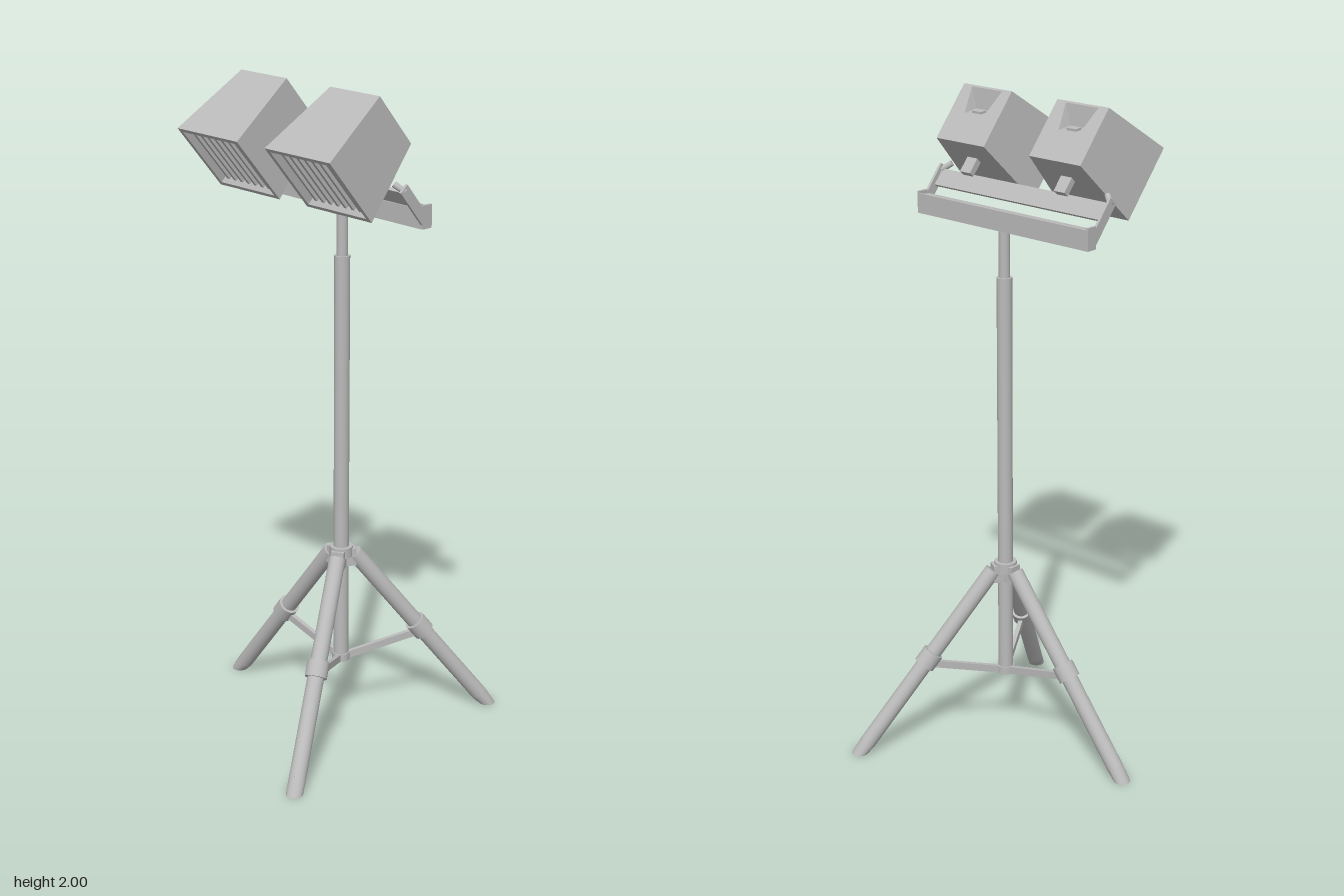
import * as THREE from 'three';

const metal = new THREE.MeshStandardMaterial({ color: 0xbababa, side: THREE.DoubleSide });
metal.name = 'grey metal';

const V = (x, y, z) => new THREE.Vector3(x, y, z);
const UP = V(0, 1, 0);
const POLE_X = 0.083;
const TILT = 0.697;

function add(parent, name, geometry, x = 0, y = 0, z = 0) {
  const mesh = new THREE.Mesh(geometry, metal);
  mesh.name = name;
  mesh.position.set(x, y, z);
  parent.add(mesh);
  return mesh;
}

function box(parent, name, w, h, d, x, y, z) {
  return add(parent, name, new THREE.BoxGeometry(w, h, d), x, y, z);
}

// Round rod, or flat strap when a width is given, between two points
function rod(parent, name, a, b, r, width) {
  const len = a.distanceTo(b);
  const geo = width ? new THREE.BoxGeometry(r, len, width) : new THREE.CylinderGeometry(r, r, len, 24);
  const mesh = add(parent, name, geo);
  mesh.position.copy(a).add(b).multiplyScalar(0.5);
  mesh.quaternion.setFromUnitVectors(UP, b.clone().sub(a).normalize());
  return mesh;
}

// Flat faces from polygons of three or four corners
function faces(polys) {
  const pos = [];
  for (const p of polys) {
    for (let i = 1; i < p.length - 1; i++) pos.push(...p[0], ...p[i], ...p[i + 1]);
  }
  const geo = new THREE.BufferGeometry();
  geo.setAttribute('position', new THREE.Float32BufferAttribute(pos, 3));
  geo.computeVertexNormals();
  return geo;
}

// Rectangle corners, counter-clockwise seen from +z
const rect = (w, h, z) => [[-w / 2, -h / 2, z], [w / 2, -h / 2, z], [w / 2, h / 2, z], [-w / 2, h / 2, z]];
// Band of quads joining two loops of four corners
const band = (a, b) => a.map((p, i) => [p, a[(i + 1) % 4], b[(i + 1) % 4], b[i]]);

// One leg, running outward along its own +x
function makeLeg(angle) {
  const leg = new THREE.Group();
  leg.name = 'leg';
  leg.position.x = POLE_X;
  leg.rotation.y = angle;
  const top = V(0.04, 0.56, 0), ground = V(0.476, 0, 0);
  const at = (t) => top.clone().lerp(ground, t);
  const ankle = at(0.935);
  rod(leg, 'legTube', top, ankle, 0.025);
  rod(leg, 'legCollar', at(0.445), at(0.515), 0.033);

  // Foot: the tube's last ring is turned level with the ground
  const foot = new THREE.CylinderGeometry(1, 1, 1, 24, 1);
  const p = foot.attributes.position;
  for (let i = 0; i < p.count; i++) {
    const x = p.getX(i) * 0.025, z = p.getZ(i) * 0.025;
    if (p.getY(i) > 0) p.setXYZ(i, ankle.x + x * 0.79, ankle.y + x * 0.614, z);
    else p.setXYZ(i, ground.x + x, 0, z);
  }
  foot.computeVertexNormals();
  add(leg, 'foot', foot);

  // Brace and its hinge lugs
  rod(leg, 'brace', V(0.235, 0.272, 0), V(0.015, 0.218, 0), 0.022, 0.014);
  box(leg, 'hingeLug', 0.045, 0.055, 0.04, 0.02, 0.552, 0);
  return leg;
}

// Lamp: origin at the centre of its front, facing its own +z
function makeLamp(x) {
  const lamp = new THREE.Group();
  lamp.name = 'lamp';
  lamp.position.set(x, 1.7675, 0.2675);
  lamp.rotation.x = TILT;
  const D = 0.254;
  const front = rect(0.253, 0.241, 0), back = rect(0.19, 0.188, -D);
  const inner = rect(0.226, 0.215, 0), panel = rect(0.205, 0.195, -0.025);

  // Wedge-shaped notch in the back
  const n0 = [-0.038, 0, -D], n1 = [0.038, 0, -D];
  const n2 = [0.06, 0.088, -D], n3 = [-0.06, 0.088, -D];
  const f2 = [0.038, 0.037, -D + 0.035], f3 = [-0.038, 0.037, -D + 0.035];
  add(lamp, 'lampHousing', faces([
    ...band(back, front),
    ...band(front, inner),
    ...band(inner, panel),
    ...band([n0, n1, n2, n3], back),
  ]));
  add(lamp, 'lampPanel', faces([panel]));
  add(lamp, 'backNotch', faces([
    [n1, n0, f3, f2], [f2, f3, n3, n2], [n0, n3, f3], [n1, f2, n2],
  ]));
  const cover = box(lamp, 'notchSocket', 0.035, 0.024, 0.01, 0, 0.018, -D + 0.015);
  cover.rotation.x = Math.PI / 4;

  // Upright slats behind the rim
  for (let i = 0; i < 7; i++) {
    box(lamp, 'slat', 0.01, 0.2, 0.012, (i - 3) * 0.029, 0, -0.018);
  }
  // Mounting stub under the housing
  box(lamp, 'mountStub', 0.04, 0.06, 0.02, 0, -0.122, -0.17);
  return lamp;
}

export function createModel() {
  const model = new THREE.Group();
  model.name = 'tripodWorkLight';

  // Telescopic pole
  rod(model, 'outerPole', V(POLE_X, 0.21, 0), V(POLE_X, 1.49, 0), 0.023);
  rod(model, 'innerPole', V(POLE_X, 1.48, 0), V(POLE_X, 1.64, 0), 0.0165);
  rod(model, 'hubRing', V(POLE_X, 0.555, 0), V(POLE_X, 0.587, 0), 0.035);
  rod(model, 'braceRing', V(POLE_X, 0.208, 0), V(POLE_X, 0.232, 0), 0.027);

  for (const angle of [Math.PI, Math.PI / 3, -Math.PI / 3]) model.add(makeLeg(angle));

  // Crossbar: a channel with a floor, a front wall and a back wall
  const cx = 0.083, length = 0.665;
  box(model, 'crossbarFloor', length, 0.008, 0.036, cx, 1.634, -0.001);
  box(model, 'crossbarFront', length, 0.055, 0.006, cx, 1.658, 0.014);
  box(model, 'crossbarBack', length, 0.06, 0.006, cx, 1.66, -0.016);
  box(model, 'crossbarTop', length, 0.006, 0.03, cx, 1.682, -0.001);

  // Tilted upper bar and the arms holding it
  const bar = box(model, 'upperBar', length, 0.056, 0.01, cx, 1.724, 0.068);
  bar.rotation.x = TILT;
  for (const side of [-1, 1]) {
    const x = cx + side * (length / 2 - 0.004);
    rod(model, 'endArm', V(x, 1.65, 0.003), V(x, 1.755, 0.09), 0.008, 0.032);
    box(model, 'endFlange', 0.008, 0.065, 0.034, x, 1.664, -0.001);
    const px = cx + side * (length / 2 - 0.03);
    rod(model, 'pivotPin', V(x, 1.745, 0.082), V(px, 1.765, 0.1), 0.009);
  }

  for (const x of [-0.0975, 0.268]) model.add(makeLamp(x));
  return model;
}
